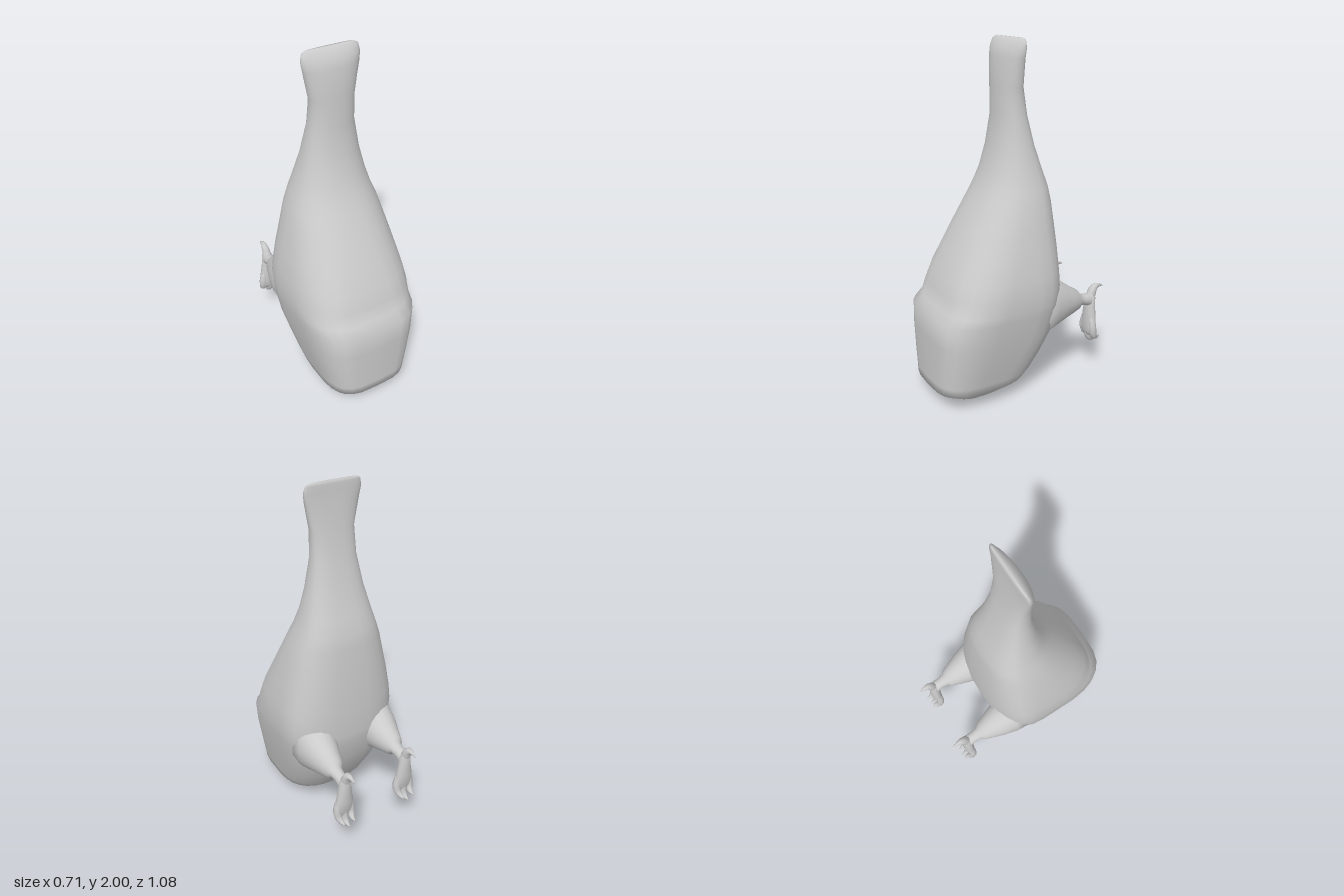
import * as THREE from 'three';

const SEG = 28;

// Skin a list of closed rings (arrays of Vector3), with both ends closed
function loft(rings, name, material) {
  const n = rings[0].length;
  const pts = rings.flat();
  const centre = (r) => r.reduce((s, p) => s.add(p), new THREE.Vector3()).divideScalar(n);
  const first = pts.push(centre(rings[0])) - 1;
  const last = pts.push(centre(rings[rings.length - 1])) - 1;
  const tris = [];
  const end = (rings.length - 1) * n;
  for (let j = 0; j < n; j++) {
    const k = (j + 1) % n;
    for (let i = 0; i < rings.length - 1; i++) {
      const a = i * n + j, b = i * n + k;
      tris.push([a, b, b + n], [a, b + n, a + n]);
    }
    tris.push([first, k, j], [last, end + j, end + k]);
  }
  // Make the faces point outwards
  let volume = 0;
  for (const [a, b, c] of tris) volume += pts[a].dot(pts[b].clone().cross(pts[c]));
  if (volume < 0) tris.forEach((t) => t.reverse());
  const geo = new THREE.BufferGeometry().setFromPoints(pts);
  geo.setIndex(tris.flat());
  geo.computeVertexNormals();
  const mesh = new THREE.Mesh(geo, material);
  mesh.name = name;
  return mesh;
}

// Points around a closed ring, placed by a rule of cosine and sine
const ring = (n, place) => Array.from({ length: n }, (_, j) => {
  const a = (j / n) * Math.PI * 2;
  return place(Math.cos(a), Math.sin(a));
});

const power = (v, e) => Math.sign(v) * Math.abs(v) ** e;

// Level body section: height, half width, back z, widest z, front z.
// The front is squarest around the belly and rounder up the neck.
function bodyRing([y, w, back, mid, front]) {
  const frontSquareness = 2.2 + 1.6 * Math.exp(-(((y - 0.32) / 0.5) ** 2));
  return ring(SEG, (c, s) => {
    const e = 2 / (s > 0 ? frontSquareness : 2.6);
    const depth = s > 0 ? front - mid : mid - back;
    return new THREE.Vector3(w * power(c, e), y, mid + depth * power(s, e));
  });
}

// Elliptical limb: rows of y, z, half width, half thickness; axis is its length
function limb(x, rows, axis, name, material) {
  return loft(rows.map(([y, z, rx, r]) => ring(16, (c, s) => (axis === 'z'
    ? new THREE.Vector3(x + rx * c, y + r * s, z)
    : new THREE.Vector3(x + rx * c, y, z + r * s)))), name, material);
}

// Tapered toe swept along a curve
function toe(points, radii, name, material) {
  const curve = new THREE.CatmullRomCurve3(points.map((p) => new THREE.Vector3(...p)));
  const steps = 10;
  const rings = [];
  for (let i = 0; i <= steps; i++) {
    const t = i / steps, p = curve.getPoint(t), d = curve.getTangent(t);
    const side = new THREE.Vector3(1, 0, 0).addScaledVector(d, -d.x).normalize();
    const up = side.clone().cross(d);
    const f = t * (radii.length - 1), k = Math.min(Math.floor(f), radii.length - 2);
    const r = THREE.MathUtils.lerp(radii[k], radii[k + 1], f - k);
    rings.push(ring(8, (c, s) => p.clone().addScaledVector(side, r * c).addScaledVector(up, r * s)));
  }
  return loft(rings, name, material);
}

function createLeg(sx, material) {
  const leg = new THREE.Group();
  leg.name = sx > 0 ? 'leftLeg' : 'rightLeg';
  const x = 0.205 * sx;

  // Thigh bulging out of the body, then the thin shank
  leg.add(limb(x, [
    [0.54, -0.06, 0.125, 0.2],
    [0.53, -0.15, 0.12, 0.165],
    [0.515, -0.23, 0.1, 0.118],
    [0.5, -0.29, 0.077, 0.088],
    [0.49, -0.345, 0.056, 0.062],
    [0.485, -0.362, 0.038, 0.036],
    [0.475, -0.4, 0.034, 0.034],
    [0.465, -0.435, 0.036, 0.04],
    [0.465, -0.46, 0.025, 0.028],
  ], 'z', 'thighAndShank', material));

  // Hanging foot paddle
  leg.add(limb(x, [
    [0.515, -0.452, 0.018, 0.018],
    [0.48, -0.45, 0.034, 0.03],
    [0.42, -0.447, 0.04, 0.031],
    [0.35, -0.447, 0.053, 0.032],
    [0.3, -0.443, 0.06, 0.028],
    [0.265, -0.441, 0.056, 0.024],
    [0.24, -0.441, 0.04, 0.016],
  ], 'y', 'foot', material));

  // Three front toes with hooked tips
  for (const k of [-1, 0, 1]) {
    const lift = 0.025 * Math.abs(k);
    leg.add(toe([
      [x + k * 0.028, 0.36, -0.445],
      [x + k * 0.044, 0.28 + lift / 2, -0.442],
      [x + k * 0.042, 0.22 + lift, -0.45],
      [x + k * 0.036, 0.198 + lift, -0.475],
      [x + k * 0.034, 0.195 + lift, -0.503],
    ], [0.02, 0.024, 0.023, 0.016, 0.003], 'frontToe', material));
  }

  // Hind toe curling up and back
  leg.add(toe([
    [x, 0.44, -0.445],
    [x, 0.5, -0.457],
    [x, 0.535, -0.477],
    [x, 0.544, -0.505],
    [x, 0.535, -0.54],
  ], [0.026, 0.028, 0.022, 0.014, 0.003], 'hindToe', material));
  return leg;
}

export function createModel() {
  const model = new THREE.Group();
  model.name = 'birdBody';
  const material = new THREE.MeshStandardMaterial({ color: 0xcccccc });

  // Body and neck, from the belly up to the flattened neck end
  const sections = [
    [0, 0.04, 0.22, 0.28, 0.33],
    [0.02, 0.16, 0.17, 0.28, 0.4],
    [0.045, 0.2, 0.09, 0.27, 0.45],
    [0.1, 0.26, -0.03, 0.22, 0.542],
    [0.15, 0.272, -0.075, 0.18, 0.542],
    [0.25, 0.295, -0.132, 0.12, 0.542],
    [0.4, 0.328, -0.2, 0.05, 0.542],
    [0.535, 0.348, -0.222, 0.02, 0.54],
    [0.58, 0.352, -0.225, 0.01, 0.488],
    [0.66, 0.355, -0.226, 0, 0.462],
    [0.75, 0.345, -0.223, 0, 0.43],
    [0.87, 0.322, -0.217, 0, 0.368],
    [1.0, 0.292, -0.207, 0, 0.3],
    [1.13, 0.26, -0.195, -0.01, 0.225],
    [1.21, 0.23, -0.183, -0.02, 0.185],
    [1.3, 0.202, -0.153, -0.02, 0.145],
    [1.43, 0.166, -0.112, -0.01, 0.11],
    [1.6, 0.134, -0.07, 0, 0.082],
    [1.75, 0.13, -0.042, 0.01, 0.083],
    [1.9, 0.161, -0.025, 0.005, 0.064],
    [1.95, 0.17, -0.022, 0, 0.045],
    [1.985, 0.163, -0.02, -0.003, 0.022],
    [2.0, 0.14, -0.017, -0.008, 0.002],
  ];
  model.add(loft(sections.map(bodyRing), 'bodyAndNeck', material));

  for (const sx of [1, -1]) model.add(createLeg(sx, material));
  return model;
}
